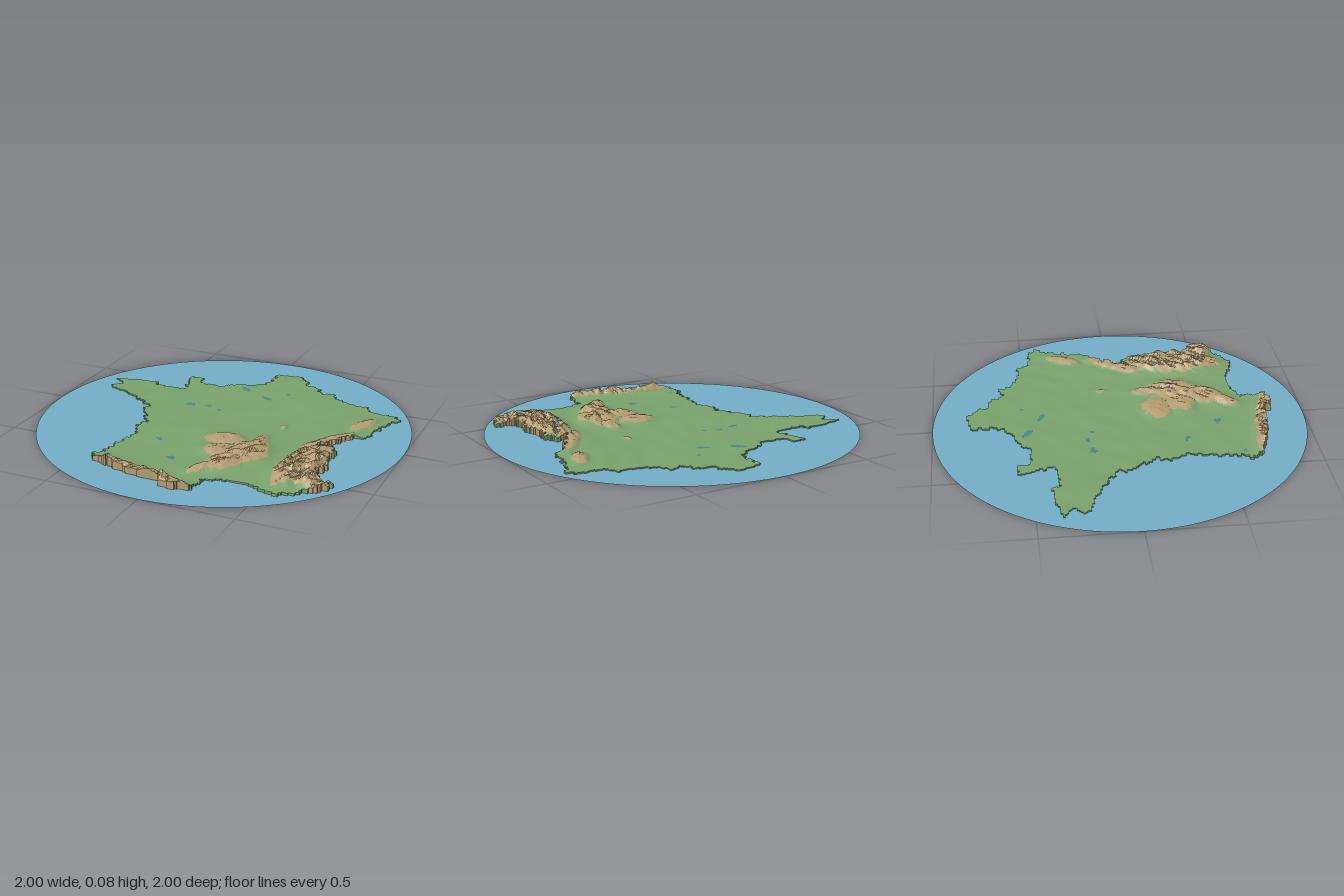
import * as THREE from 'three';

// Coastline and borders, hundredths of a unit, as x, z pairs
const OUTLINE = [
  0, -79, 13, -83, 20, -75, 22, -70, 30, -68, 33, -61, 40, -64, 42, -57, 52, -53, 64, -52, 66, -46, 82, -45,
  85, -42, 80, -30, 77, -13, 70, -9, 64, 0, 60, 7, 58, 12, 66, 8, 69, 18, 67, 24, 70, 33, 68, 43, 73, 50,
  79, 50, 78, 56, 72, 60, 64, 67, 57, 71, 47, 68, 38, 65, 27, 65, 19, 70, 18, 81, 10, 84, 2, 82, 0, 78,
  -10, 78, -26, 75, -37, 71, -45, 66, -41, 57, -38, 40, -37, 31, -41, 23, -39, 14, -45, 4, -50, 0, -47, -5,
  -54, -10, -60, -15, -70, -20, -83, -25, -78, -31, -84, -37, -77, -39, -62, -41, -57, -36, -42, -37,
  -42, -43, -47, -56, -39, -57, -37, -50, -22, -49, -20, -54, -10, -58, -2, -62, 0, -66,
];

// Upland masses: x, z, long radius, short radius, direction in degrees, height
const UPLANDS = [
  [0.70, -0.26, 0.10, 0.04, -65, 0.022],
  [0.60, 0.03, 0.19, 0.045, 123, 0.026],
  [0.59, 0.36, 0.27, 0.11, 98, 0.050],
  [0.68, 0.52, 0.12, 0.08, 30, 0.050],
  [0.10, 0.21, 0.10, 0.08, 0, 0.022],
  [0.28, 0.20, 0.10, 0.04, 90, 0.028],
  [0.27, 0.33, 0.14, 0.11, 110, 0.034],
  [0.14, 0.35, 0.10, 0.08, 0, 0.025],
  [0.21, 0.48, 0.13, 0.08, 120, 0.032],
  [0.14, 0.58, 0.09, 0.04, 120, 0.028],
  [-0.13, 0.76, 0.30, 0.05, 11, 0.046],
  [0.10, 0.82, 0.10, 0.045, 10, 0.040],
  [0.32, -0.07, 0.03, 0.015, 90, 0.010],
];

// Lakes: x, z, long radius, short radius, direction in degrees
const LAKES = [
  [-0.08, -0.50, 0.045, 0.014, 40], [0.08, -0.42, 0.04, 0.013, 25], [-0.28, -0.17, 0.03, 0.015, 0],
  [-0.18, -0.19, 0.025, 0.008, 0], [-0.22, 0.33, 0.025, 0.012, 20], [-0.06, 0.52, 0.025, 0.015, 20],
  [-0.10, -0.16, 0.012, 0.008, 0], [0.17, -0.52, 0.012, 0.008, 0], [-0.37, 0.61, 0.02, 0.006, 0],
  [0.55, 0.28, 0.015, 0.015, 0],
];

const STEP = 0.01;
const HALF = 88;

function hash(i, j) {
  const s = Math.sin(i * 127.1 + j * 311.7) * 43758.5453;
  return s - Math.floor(s);
}

// Smooth value noise from 0 to 1
function noise(x, z) {
  const i = Math.floor(x), j = Math.floor(z);
  const u = THREE.MathUtils.smoothstep(x - i, 0, 1), v = THREE.MathUtils.smoothstep(z - j, 0, 1);
  const lerp = THREE.MathUtils.lerp;
  return lerp(lerp(hash(i, j), hash(i + 1, j), u), lerp(hash(i, j + 1), hash(i + 1, j + 1), u), v);
}

// Squared distance from an ellipse centre, 1 on its rim
function ellipse([cx, cz, long, short, degrees], x, z) {
  const a = THREE.MathUtils.degToRad(degrees), c = Math.cos(a), s = Math.sin(a);
  const dx = x - cx, dz = z - cz;
  return ((dx * c + dz * s) / long) ** 2 + ((dz * c - dx * s) / short) ** 2;
}

function insideOutline(x, z) {
  let inside = false;
  const n = OUTLINE.length;
  for (let i = 0, j = n - 2; i < n; j = i, i += 2) {
    const xi = OUTLINE[i] / 100, zi = OUTLINE[i + 1] / 100;
    const xj = OUTLINE[j] / 100, zj = OUTLINE[j + 1] / 100;
    if ((zi > z) !== (zj > z) && x < xi + ((xj - xi) * (z - zi)) / (zj - zi)) inside = !inside;
  }
  return inside;
}

// Ridges run from north-east to south-west
function heightAt(x, z) {
  const along = z * 0.85 - x * 0.5, across = x * 0.85 + z * 0.5;
  const ridge = 0.6 * noise(across * 32, along * 14) + 0.4 * noise(across * 75 + 9, along * 35);
  let rise = 0;
  for (const u of UPLANDS) {
    const d = ellipse(u, x, z);
    rise = Math.max(rise, u[5] * (0.75 * Math.exp(-d * d) + 0.25 * Math.exp(-d * 0.5)));
  }
  const rough = THREE.MathUtils.clamp(rise / 0.04, 0.25, 1);
  return 0.005 + 0.004 * noise(across * 14, along * 8) + rise * (1 + rough * (ridge * 1.4 - 0.75));
}

function isMountain(x, z) {
  const wobble = 0.7 + 0.6 * noise(x * 30 + 5, z * 30);
  return UPLANDS.some((u) => ellipse(u, x, z) < wobble);
}

export function createModel() {
  const group = new THREE.Group();
  const material = (name, color, options = {}) => {
    const m = new THREE.MeshStandardMaterial({ color, ...options });
    m.name = name;
    return m;
  };

  // Flat round sea
  const sea = new THREE.Mesh(new THREE.CircleGeometry(1, 128),
    material('sea blue', 0x74b0c8, { side: THREE.DoubleSide }));
  sea.rotation.x = -Math.PI / 2;
  sea.name = 'sea';
  group.add(sea);

  // Land cells, with each pair of rows shifted a little for a ragged coast
  const isLand = (i, j) => {
    const x = (i + 0.5) * STEP, z = (j + 0.5) * STEP;
    return insideOutline(x + (hash(Math.floor(j / 2), 7) - 0.5) * 0.03, z + (hash(Math.floor(i / 2), 3) - 0.5) * 0.012);
  };
  const land = new Set();
  const key = (i, j) => i * 1000 + j;
  for (let i = -HALF; i < HALF; i++) {
    for (let j = -HALF; j < HALF; j++) if (isLand(i, j)) land.add(key(i, j));
  }

  const faces = { lowlands: [], mountains: [], lakes: [] };
  const quad = (list, a, b, c, d) => list.push(...a, ...b, ...c, ...a, ...c, ...d);
  const corner = (i, j) => [i * STEP, heightAt(i * STEP, j * STEP), j * STEP];
  const foot = (p) => [p[0], 0, p[2]];

  for (let i = -HALF; i < HALF; i++) {
    for (let j = -HALF; j < HALF; j++) {
      if (!land.has(key(i, j))) continue;
      const x = (i + 0.5) * STEP, z = (j + 0.5) * STEP;
      const lake = LAKES.some((l) => ellipse(l, x, z) < 0.6 + 0.8 * hash(i, j));
      const list = faces[lake ? 'lakes' : isMountain(x, z) ? 'mountains' : 'lowlands'];
      const p = [corner(i, j), corner(i, j + 1), corner(i + 1, j + 1), corner(i + 1, j)];
      quad(list, ...p);
      // Cliff down to the sea wherever the neighbouring cell is water
      [[-1, 0], [0, 1], [1, 0], [0, -1]].forEach(([di, dj], k) => {
        if (land.has(key(i + di, j + dj))) return;
        const a = p[k], b = p[(k + 1) % 4];
        quad(list, a, foot(a), foot(b), b);
      });
    }
  }

  const colours = {
    lowlands: material('lowland green', 0x7aa36d, { flatShading: true }),
    mountains: material('mountain tan', 0xb49d72, { flatShading: true }),
    lakes: material('lake teal', 0x4a8790, { flatShading: true }),
  };
  for (const [name, positions] of Object.entries(faces)) {
    const geometry = new THREE.BufferGeometry();
    geometry.setAttribute('position', new THREE.Float32BufferAttribute(positions, 3));
    geometry.computeVertexNormals();
    const mesh = new THREE.Mesh(geometry, colours[name]);
    mesh.name = name;
    group.add(mesh);
  }
  return group;
}
